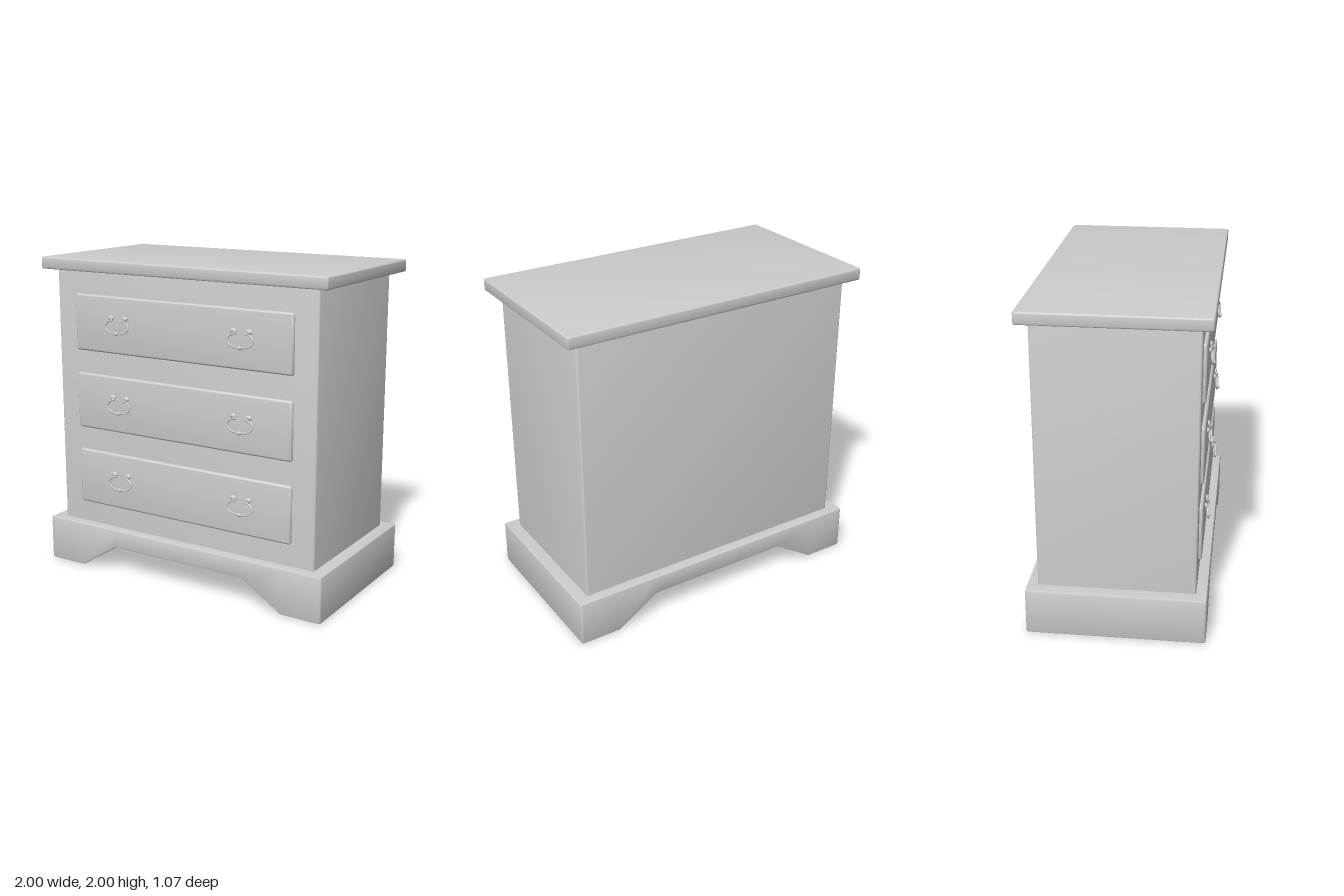
import * as THREE from 'three';
import { toCreasedNormals } from 'three/addons/utils/BufferGeometryUtils.js';

const material = new THREE.MeshStandardMaterial({ color: 0xcccccc, side: THREE.DoubleSide });

// Counter-clockwise (seen from above) rounded rectangle in x/z; "breaks" adds points along the long sides
function ring(w, d, r, y, breaks = []) {
  const points = [];
  const add = (x, z) => points.push(new THREE.Vector3(x, typeof y === 'function' ? y(x) : y, z));
  const corners = [[1, 1, 0], [1, -1, 1], [-1, -1, 2], [-1, 1, 3]];
  corners.forEach(([sx, sz, quarter]) => {
    for (let i = 0; i <= 3; i++) {
      const a = Math.PI / 2 * (1 - quarter - i / 3);
      add(sx * (w / 2 - r) + r * Math.cos(a), sz * (d / 2 - r) + r * Math.sin(a));
    }
    if (quarter === 1) [...breaks].reverse().forEach(x => add(x, -d / 2));
    if (quarter === 3) breaks.forEach(x => add(x, d / 2));
  });
  return points;
}

// Skin over rings listed from bottom to top, with optional flat ends
function loft(rings, capBottom, capTop) {
  const pos = [];
  const tri = (...v) => v.forEach(p => pos.push(p.x, p.y, p.z));
  const n = rings[0].length;
  for (let k = 0; k < rings.length - 1; k++) {
    for (let i = 0; i < n; i++) {
      const j = (i + 1) % n, lo = rings[k], hi = rings[k + 1];
      tri(lo[i], lo[j], hi[j]);
      tri(lo[i], hi[j], hi[i]);
    }
  }
  const top = rings[rings.length - 1], bottom = rings[0];
  for (let i = 1; i < n - 1; i++) {
    if (capTop) tri(top[0], top[i], top[i + 1]);
    if (capBottom) tri(bottom[0], bottom[i + 1], bottom[i]);
  }
  const geometry = new THREE.BufferGeometry();
  geometry.setAttribute('position', new THREE.Float32BufferAttribute(pos, 3));
  return toCreasedNormals(geometry, 0.65);
}

// Box with rounded upright edges and rounded top (and bottom) rims
function softBox(w, d, y0, y1, b, closedBottom) {
  const rings = [];
  const rim = (t, y) => {
    const inset = b * (1 - Math.cos(t));
    rings.push(ring(w - 2 * inset, d - 2 * inset, b * 1.2 - inset, y));
  };
  if (closedBottom) for (let i = 3; i >= 0; i--) rim(i * Math.PI / 6, y0 + b * (1 - Math.sin(i * Math.PI / 6)));
  else rim(0, y0);
  for (let i = 0; i <= 3; i++) rim(i * Math.PI / 6, y1 - b * (1 - Math.sin(i * Math.PI / 6)));
  return loft(rings, closedBottom, true);
}

function mesh(name, geometry, parent) {
  const m = new THREE.Mesh(geometry, material);
  m.name = name;
  parent.add(m);
  return m;
}

// Hollow plinth with a cut-out arch at front and back
function plinthGeometry() {
  const breaks = [-0.74, -0.47, 0.47, 0.74];
  const arch = x => 0.17 * THREE.MathUtils.clamp((0.74 - Math.abs(x)) / 0.27, 0, 1);
  const level = (inset, y) => ring(2 - 2 * inset, 1.07 - 2 * inset, 0.014 - inset, y, breaks);
  return loft([
    level(0.011, arch),
    level(0.003, x => arch(x) + 0.003),
    level(0, x => arch(x) + 0.011),
    level(0, 0.277),
    level(0.003, 0.285),
    level(0.011, 0.288),
    ring(1.83, 0.93, 0.004, 0.288, breaks),
  ], false, false);
}

// Swinging bail handle with two oval rosettes and a centre bead
function makeHandle() {
  const handle = new THREE.Group();
  handle.name = 'handle';
  const half = [[0.04, 0.034, 0.012], [0.062, 0.027, 0.014], [0.083, 0.008, 0.016],
    [0.084, -0.016, 0.019], [0.058, -0.037, 0.022], [0.025, -0.044, 0.024]];
  const path = [
    ...half.map(([x, y, z]) => new THREE.Vector3(-x, y, z)),
    new THREE.Vector3(0, -0.046, 0.024),
    ...half.map(p => new THREE.Vector3(...p)).reverse(),
  ];
  mesh('bail', new THREE.TubeGeometry(new THREE.CatmullRomCurve3(path), 48, 0.0055, 8), handle);
  mesh('bead', new THREE.SphereGeometry(0.012, 12, 8), handle).position.set(0, -0.046, 0.024);
  for (const s of [-1, 1]) {
    const rosette = mesh('rosette', new THREE.SphereGeometry(1, 14, 10), handle);
    rosette.scale.set(0.022, 0.016, 0.011);
    rosette.position.set(s * 0.052, 0.047, 0.004);
    const post = mesh('post', new THREE.CylinderGeometry(0.006, 0.006, 0.018, 8), handle);
    post.rotation.x = Math.PI / 2;
    post.position.set(s * 0.043, 0.037, 0.007);
    mesh('bailEnd', new THREE.SphereGeometry(0.008, 10, 8), handle).position.set(s * 0.04, 0.034, 0.012);
  }
  return handle;
}

export function createModel() {
  const chest = new THREE.Group();
  chest.name = 'chestOfDrawers';

  mesh('plinth', plinthGeometry(), chest);
  mesh('carcass', softBox(1.84, 0.94, 0.286, 1.93, 0.01, false), chest);
  mesh('topBoard', softBox(2, 1.07, 1.925, 2, 0.011, true), chest);

  // Three drawer fronts, open at the back, each with two handles
  const frontGeometry = softBox(1.545, 0.355, 0, 0.13, 0.013, false);
  for (const y of [0.603, 1.103, 1.603]) {
    const drawer = new THREE.Group();
    drawer.name = 'drawer';
    drawer.position.set(0, y, 0.36);
    mesh('drawerFront', frontGeometry, drawer).rotation.x = Math.PI / 2;
    for (const x of [-0.44, 0.44]) {
      const handle = makeHandle();
      handle.position.set(x, 0, 0.13);
      drawer.add(handle);
    }
    chest.add(drawer);
  }
  return chest;
}
